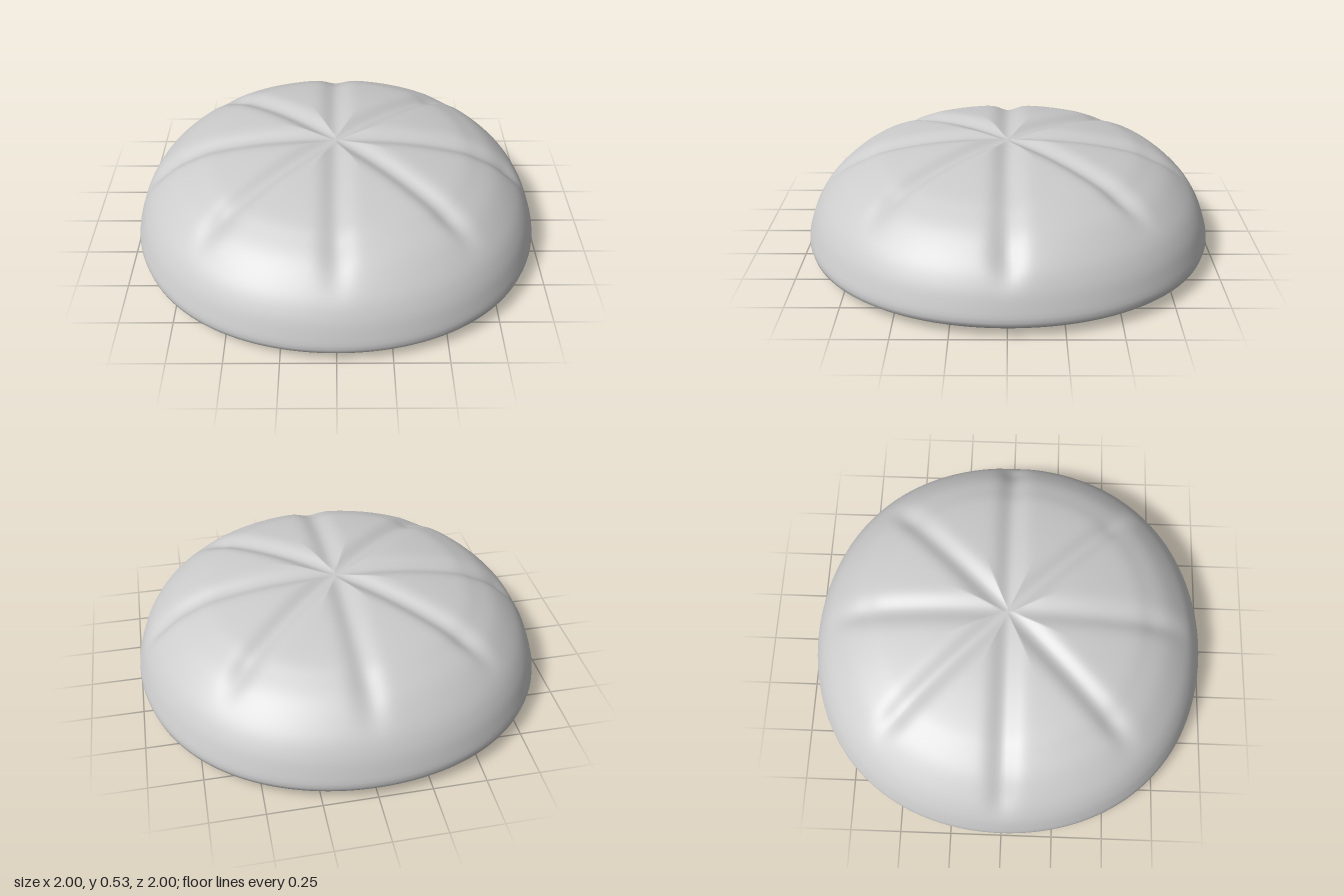
import * as THREE from 'three';
import { mergeVertices } from 'three/addons/utils/BufferGeometryUtils.js';

// Smooth 0..1 ramp between a and b
const ramp = (x, a, b) => THREE.MathUtils.smoothstep(x, a, b);

// Depth of the scored grooves at a point on the crust
function grooveDepth(x, z) {
  const r = Math.hypot(x, z);
  const cut = (d, width, depth) => depth * Math.exp(-((d / width) ** 2));
  const d1 = (x - z) * Math.SQRT1_2, d2 = (x + z) * Math.SQRT1_2;
  const diagonalFade = 1 - ramp(r, 0.68, 0.9);
  return Math.max(
    cut(z, 0.06, 0.028) * (1 - ramp(r, 0.85, 1)),
    cut(x, 0.06, 0.025) * (1 - ramp(r, 0.7, 0.95)),
    cut(d1, 0.055, 0.03) * diagonalFade,
    cut(d2, 0.055, 0.03) * diagonalFade
  );
}

export function createModel() {
  const group = new THREE.Group();
  group.name = 'breadBun';

  // Half section: shallow base, tight rim, domed crust
  const section = [
    [0, 0], [0.4, 0.008], [0.75, 0.018], [0.93, 0.03], [0.985, 0.048], [1, 0.08],
    [0.985, 0.14], [0.955, 0.215], [0.9, 0.295], [0.8, 0.385], [0.7, 0.44],
    [0.6, 0.478], [0.4, 0.517], [0.2, 0.537], [0, 0.54]
  ].map(([x, y]) => new THREE.Vector2(x, y));
  const profile = new THREE.SplineCurve(section).getSpacedPoints(100);
  profile.forEach(p => { p.x = Math.max(p.x, 0); });
  profile[0].x = profile[100].x = 0;

  let geometry = new THREE.LatheGeometry(profile, 256);
  const pos = geometry.attributes.position;
  for (let i = 0; i < pos.count; i++) {
    const x = pos.getX(i), y = pos.getY(i), z = pos.getZ(i);
    // Slightly squared outline, then grooves pressed into the dome
    const a = Math.atan2(z, x);
    const swell = 1 + 0.02 * Math.sin(2 * a) ** 2;
    const cut = grooveDepth(x, z) * ramp(y, 0.12, 0.3);
    const inward = 1 - cut * 0.5 * ramp(Math.hypot(x, z), 0.4, 0.9);
    pos.setXYZ(i, x * swell * inward, y - cut, z * swell * inward);
  }

  // Weld the seam and poles so shading is continuous
  geometry.deleteAttribute('uv');
  geometry.deleteAttribute('normal');
  geometry = mergeVertices(geometry, 1e-5);
  geometry.computeVertexNormals();

  const bun = new THREE.Mesh(geometry, new THREE.MeshStandardMaterial({ color: 0xcccccc }));
  bun.name = 'scoredCrust';
  group.add(bun);
  return group;
}
